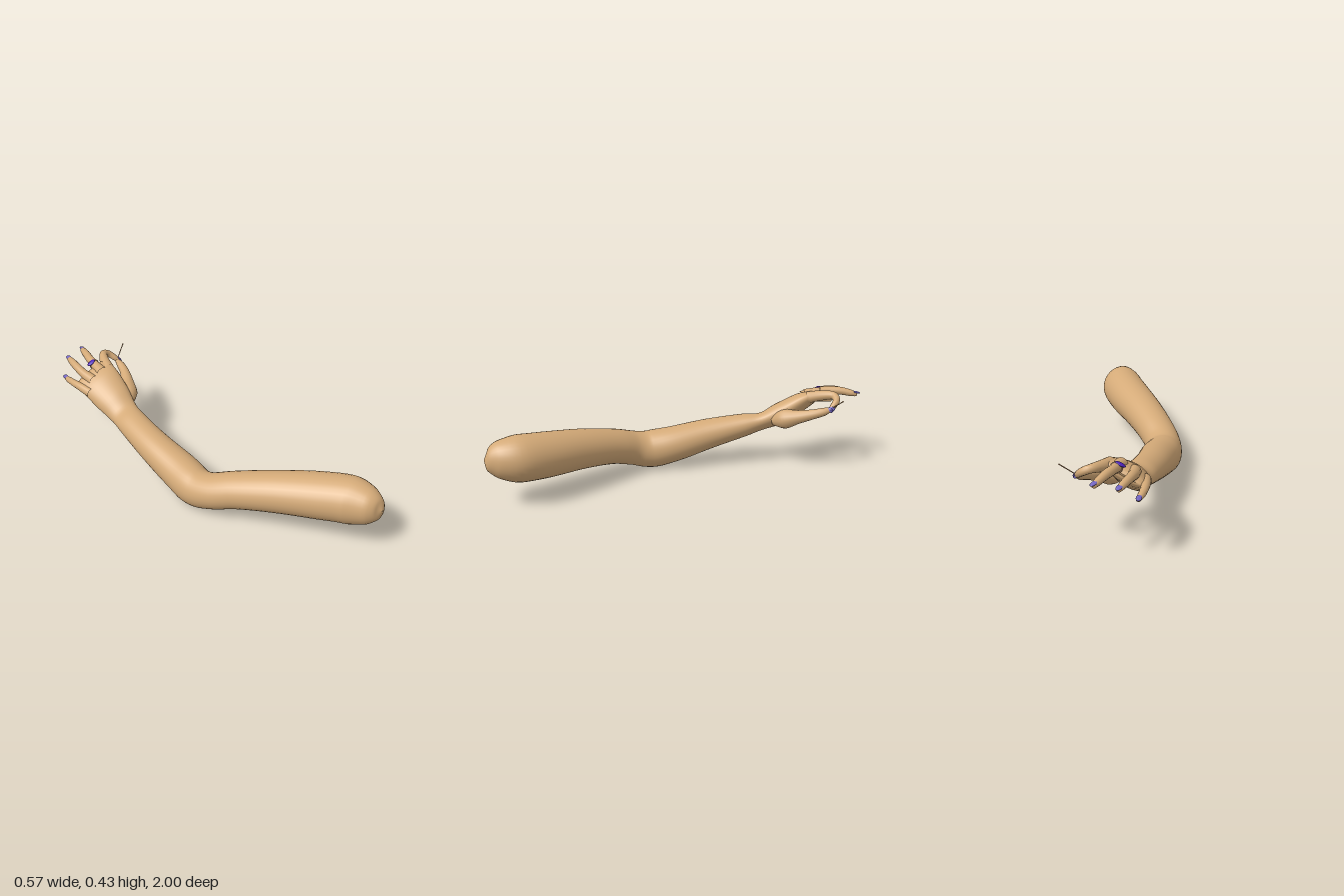
import * as THREE from 'three';

const mat = (name, color) => Object.assign(new THREE.MeshStandardMaterial({ color }), { name });

// Smooth limb lofted through elliptical sections: [x, y, z, halfWidth, halfHeight, rollDegrees]
function limb(sections, steps, sides) {
  const path = new THREE.CatmullRomCurve3(sections.map(s => new THREE.Vector3(s[0], s[1], s[2])));
  const size = new THREE.CatmullRomCurve3(sections.map(s => new THREE.Vector3(s[3], s[4] ?? s[3], (s[5] ?? 0) / 57.3)));
  const pos = [], index = [], up = new THREE.Vector3(0, 1, 0);
  for (let i = 0; i <= steps; i++) {
    const t = i / steps, c = path.getPoint(t), r = size.getPoint(t), T = path.getTangent(t);
    const side = T.clone().cross(up).normalize(), top = side.clone().cross(T);
    for (let j = 0; j < sides; j++) {
      const q = j / sides * Math.PI * 2;
      const u = Math.max(r.x, 0.001) * Math.cos(q), v = Math.max(r.y, 0.001) * Math.sin(q);
      const p = c.clone()
        .addScaledVector(side, u * Math.cos(r.z) - v * Math.sin(r.z))
        .addScaledVector(top, u * Math.sin(r.z) + v * Math.cos(r.z));
      pos.push(p.x, p.y, p.z);
      if (i < steps) {
        const k = (j + 1) % sides, a = i * sides, b = a + sides;
        index.push(a + j, b + j, a + k, a + k, b + j, b + k);
      }
    }
  }
  const g = new THREE.BufferGeometry();
  g.setAttribute('position', new THREE.Float32BufferAttribute(pos, 3));
  g.setIndex(index);
  g.computeVertexNormals();
  return g;
}

export function createModel() {
  const model = new THREE.Group();
  const skin = mat('skin', 0xd4aa78), polish = mat('nailPolish', 0x7466c4);
  const violet = mat('gemViolet', 0x4a1fb8), wood = mat('stickTan', 0xc09468);
  const add = (name, geo, material, parent = model) => {
    const m = new THREE.Mesh(geo, material);
    m.name = name;
    parent.add(m);
    return m;
  };

  // Upper arm, elbow, forearm, wrist and palm in one skin
  add('arm', limb([
    [0.2, 0.255, 0.992, 0.002, 0.002],
    [0.2, 0.253, 0.975, 0.045, 0.055],
    [0.192, 0.25, 0.93, 0.085, 0.092],
    [0.17, 0.24, 0.82, 0.119, 0.119],
    [0.11, 0.226, 0.7, 0.12, 0.116],
    [-0.01, 0.2, 0.5, 0.11, 0.103],
    [-0.11, 0.163, 0.33, 0.1, 0.093],
    [-0.168, 0.125, 0.22, 0.096, 0.092],
    [-0.185, 0.107, 0.13, 0.099, 0.1],
    [-0.178, 0.128, 0, 0.102, 0.097, 5],
    [-0.178, 0.175, -0.2, 0.09, 0.082, 12],
    [-0.163, 0.218, -0.4, 0.08, 0.062, 20],
    [-0.15, 0.24, -0.5, 0.08, 0.047, 25],
    [-0.142, 0.283, -0.6, 0.1, 0.058, 27],
    [-0.142, 0.335, -0.7, 0.112, 0.05, 27],
    [-0.142, 0.362, -0.77, 0.108, 0.034, 26],
    [-0.142, 0.367, -0.792, 0.095, 0.018, 26],
    [-0.142, 0.369, -0.8, 0.06, 0.003, 26],
  ], 90, 32), skin);

  // Fingers: sections with radius, then nail offset from the tip centre and the way it faces
  const fingers = {
    thumb: [[[-0.085, 0.262, -0.54, 0.03], [-0.045, 0.28, -0.59, 0.052], [0, 0.302, -0.65, 0.036],
      [0.037, 0.325, -0.72, 0.026], [0.052, 0.34, -0.77, 0.022], [0.057, 0.352, -0.805, 0.014]], [0.9, 0.4, 0.1]],
    indexFinger: [[[-0.07, 0.385, -0.72, 0.032], [-0.045, 0.4, -0.79, 0.027], [-0.008, 0.407, -0.845, 0.021],
      [0.027, 0.392, -0.848, 0.019], [0.052, 0.367, -0.822, 0.016], [0.058, 0.358, -0.81, 0.012]], [0.6, 0.2, -0.8]],
    middleFinger: [[[-0.118, 0.383, -0.72, 0.034], [-0.112, 0.4, -0.79, 0.025], [-0.102, 0.408, -0.85, 0.022],
      [-0.083, 0.408, -0.91, 0.021], [-0.062, 0.398, -0.965, 0.017], [-0.056, 0.394, -0.983, 0.013]], [0, 1, -0.1]],
    ringFinger: [[[-0.178, 0.355, -0.72, 0.032], [-0.188, 0.372, -0.79, 0.025], [-0.187, 0.385, -0.85, 0.022],
      [-0.176, 0.388, -0.91, 0.02], [-0.163, 0.382, -0.955, 0.016], [-0.159, 0.379, -0.97, 0.013]], [-0.2, 1, -0.1]],
    littleFinger: [[[-0.222, 0.308, -0.69, 0.028], [-0.236, 0.32, -0.76, 0.023], [-0.241, 0.322, -0.82, 0.019],
      [-0.237, 0.317, -0.87, 0.017], [-0.231, 0.312, -0.9, 0.013], [-0.23, 0.311, -0.907, 0.012]], [-0.35, 0.9, -0.1]],
  };
  for (const [name, [sections, facing]] of Object.entries(fingers)) {
    const group = new THREE.Group();
    group.name = name;
    model.add(group);
    add('finger', limb(sections, 24, 14), skin, group);
    const last = sections.at(-1), prev = sections.at(-3);
    const tip = new THREE.Vector3(...last.slice(0, 3));
    const dir = tip.clone().sub(new THREE.Vector3(...prev.slice(0, 3))).normalize();
    add('fingertip', new THREE.SphereGeometry(last[3], 14, 10), skin, group).position.copy(tip);
    // Thin curved nail plate lying along the fingertip
    const n = new THREE.Vector3(...facing).addScaledVector(dir, -new THREE.Vector3(...facing).dot(dir)).normalize();
    const nail = add('nail', new THREE.SphereGeometry(1, 14, 10).scale(0.013, 0.0049, 0.023), polish, group);
    nail.quaternion.setFromRotationMatrix(new THREE.Matrix4().makeBasis(n.clone().cross(dir), n, dir));
    nail.position.copy(tip).addScaledVector(n, last[3] * 0.85).addScaledVector(dir, 0.004);
  }

  // Ring with an oval stone on the middle finger
  add('ringBand', new THREE.TorusGeometry(0.026, 0.003, 8, 24), wood).position.set(-0.112, 0.4, -0.797);
  const gem = add('ringStone', new THREE.SphereGeometry(1, 18, 10).scale(0.026, 0.007, 0.015), violet);
  gem.position.set(-0.131, 0.418, -0.797);
  gem.rotation.z = 0.45;

  // Thin stick pinched between thumb and index finger
  const from = new THREE.Vector3(0.05, 0.35, -0.807), to = new THREE.Vector3(0.13, 0.417, -0.845);
  const stick = new THREE.Group();
  stick.name = 'stick';
  model.add(stick);
  add('shaft', new THREE.CylinderGeometry(0.0028, 0.002, from.distanceTo(to), 8), wood, stick);
  add('head', new THREE.SphereGeometry(0.004, 8, 6), wood, stick).position.y = from.distanceTo(to) / 2;
  stick.position.copy(from).lerp(to, 0.5);
  stick.quaternion.setFromUnitVectors(new THREE.Vector3(0, 1, 0), to.clone().sub(from).normalize());
  return model;
}
